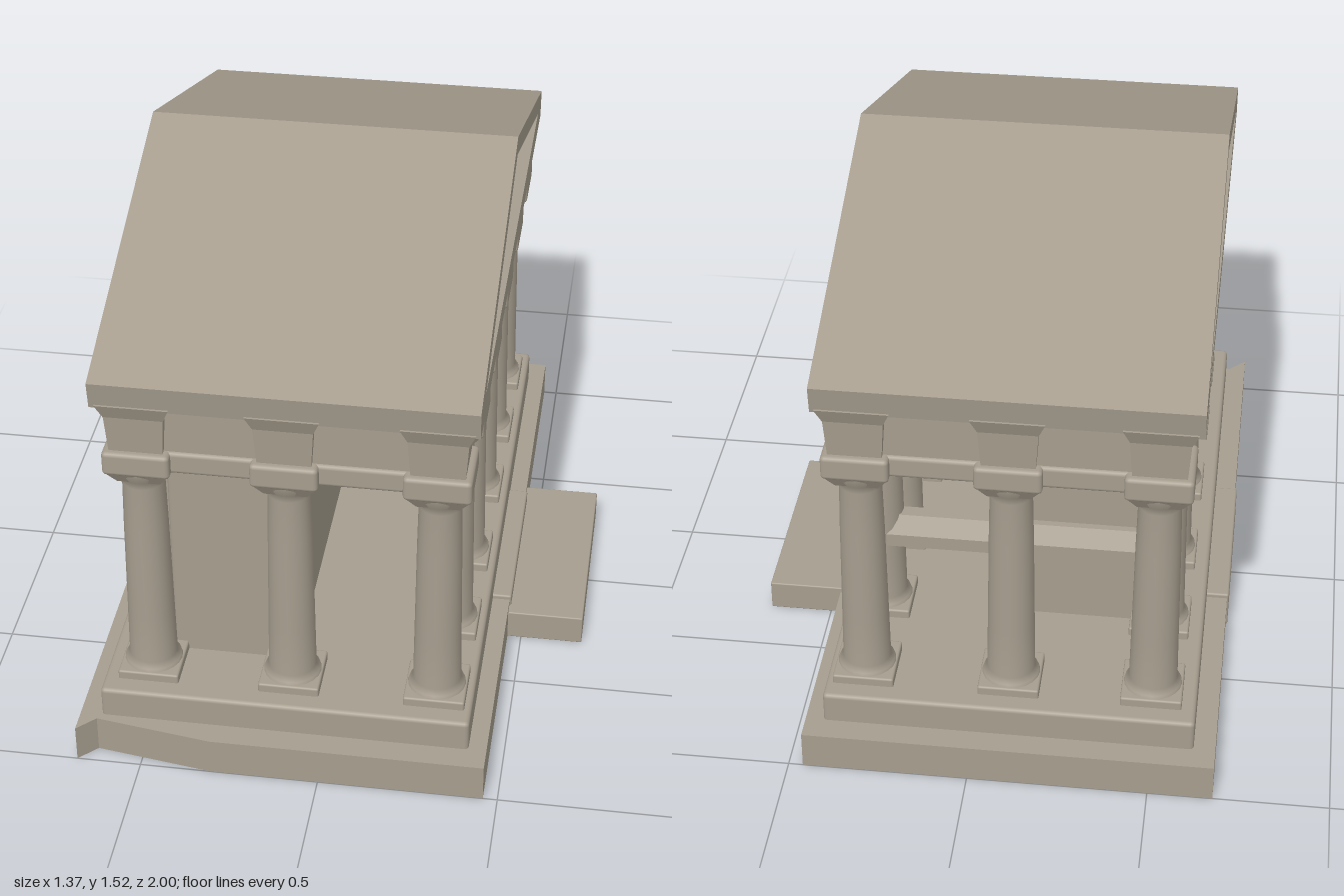
import * as THREE from 'three';
import { toCreasedNormals } from 'three/addons/utils/BufferGeometryUtils.js';
import { RoundedBoxGeometry } from 'three/addons/geometries/RoundedBoxGeometry.js';

const stone = new THREE.MeshStandardMaterial({ color: 0xa69d8e });
stone.name = 'stone';

export function createModel() {
  const model = new THREE.Group();
  model.name = 'temple';

  const add = (name, geometry, parent = model) => {
    const mesh = new THREE.Mesh(geometry, stone);
    mesh.name = name;
    parent.add(mesh);
    return mesh;
  };

  // Softly worn block given by its min and max on each axis
  const block = (name, x0, x1, y0, y1, z0, z1, r = 0.012, parent = model) => {
    const mesh = add(name, new RoundedBoxGeometry(x1 - x0, y1 - y0, z1 - z0, 2, r), parent);
    mesh.position.set((x0 + x1) / 2, (y0 + y1) / 2, (z0 + z1) / 2);
    return mesh;
  };

  // Square frustum: half widths at the bottom and top
  const flare = (name, x, z, y0, y1, h0, h1, parent) => {
    const g = new THREE.CylinderGeometry(h1 * Math.SQRT2, h0 * Math.SQRT2, y1 - y0, 4);
    g.rotateY(Math.PI / 4);
    const mesh = add(name, toCreasedNormals(g, 0.5), parent);
    mesh.position.set(x, (y0 + y1) / 2, z);
  };

  // Profile in (z, y) pulled along x
  const alongX = (name, points, x0, x1, hole) => {
    const shape = new THREE.Shape(points.map(p => new THREE.Vector2(...p)));
    if (hole) shape.holes.push(new THREE.Path(hole.map(p => new THREE.Vector2(...p))));
    const g = new THREE.ExtrudeGeometry(shape, { depth: x1 - x0, bevelEnabled: false });
    g.rotateY(Math.PI / 2);
    g.translate(x0, 0, 0);
    return add(name, g);
  };

  // Lower step, with one worn front corner
  const plan = [[-0.68, 1], [0.46, 1], [0.46, -1], [-0.3, -1], [-0.63, -0.95], [-0.68, -1]];
  const lower = new THREE.ExtrudeGeometry(
    new THREE.Shape(plan.map(p => new THREE.Vector2(...p))), { depth: 0.11, bevelEnabled: false });
  lower.rotateX(-Math.PI / 2);
  add('lowerStep', lower);

  // Platform, side ledges and the entrance step
  block('platform', -0.62, 0.41, 0.03, 0.2, -0.93, 0.93);
  block('sideLedge', -0.685, 0.465, 0.01, 0.123, -0.265, 0.265, 0.006);
  block('entranceStep', 0.4, 0.68, 0, 0.09, -0.33, 0.3, 0.004);

  // Inner chamber and the rail beside it
  block('chamber', -0.45, -0.1, 0.18, 0.95, -0.5, 0.72);
  alongX('rail', [[-0.05, 0.44], [0.05, 0.44], [0.05, 0.48], [0.02, 0.53], [-0.02, 0.53], [-0.05, 0.48]],
    -0.42, 0.31).position.z = -0.5;

  // Columns all round, each with plinth, capital, block and frieze bracket
  const shaftProfile = [[0.082, 0.222], [0.078, 0.235], [0.067, 0.25], [0.065, 0.4], [0.061, 0.7],
    [0.058, 0.84], [0.064, 0.865], [0.078, 0.885], [0.08, 0.91]].map(p => new THREE.Vector2(...p));
  const shaft = new THREE.LatheGeometry(shaftProfile, 20);
  const column = (x, z) => {
    const g = new THREE.Group();
    g.name = 'column';
    model.add(g);
    block('plinth', x - 0.085, x + 0.085, 0.19, 0.226, z - 0.085, z + 0.085, 0.006, g);
    add('shaft', shaft, g).position.set(x, 0, z);
    flare('capital', x, z, 0.865, 0.91, 0.058, 0.086, g);
    block('capitalBlock', x - 0.091, x + 0.091, 0.903, 0.975, z - 0.091, z + 0.091, 0.012, g);
    flare('friezeBracket', x, z, 0.97, 1.09, 0.072, 0.08, g);
    flare('friezeBracketTop', x, z, 1.085, 1.13, 0.08, 0.098, g);
  };
  const xLeft = 0.305, xRight = -0.495;
  for (const z of [-0.79, -0.49, -0.17, 0.17, 0.49, 0.79]) {
    column(xLeft, z);
    column(xRight, z);
  }
  for (const z of [-0.79, 0.79]) column(-0.1, z);

  // Beam over the columns, and the frieze
  block('beam', -0.56, 0.37, 0.908, 0.975, -0.855, 0.855);
  block('frieze', -0.55, 0.36, 0.96, 1.13, -0.845, 0.845);

  // Gabled roof with recessed pediments at both ends
  alongX('roof',
    [[-0.88, 1.12], [0.88, 1.12], [0.892, 1.2], [0, 1.52], [-0.892, 1.2]], -0.608, 0.415,
    [[-0.77, 1.185], [0, 1.463], [0.77, 1.185]]);
  alongX('pediment', [[-0.79, 1.18], [0.79, 1.18], [0, 1.467]], -0.56, 0.367);

  return model;
}
